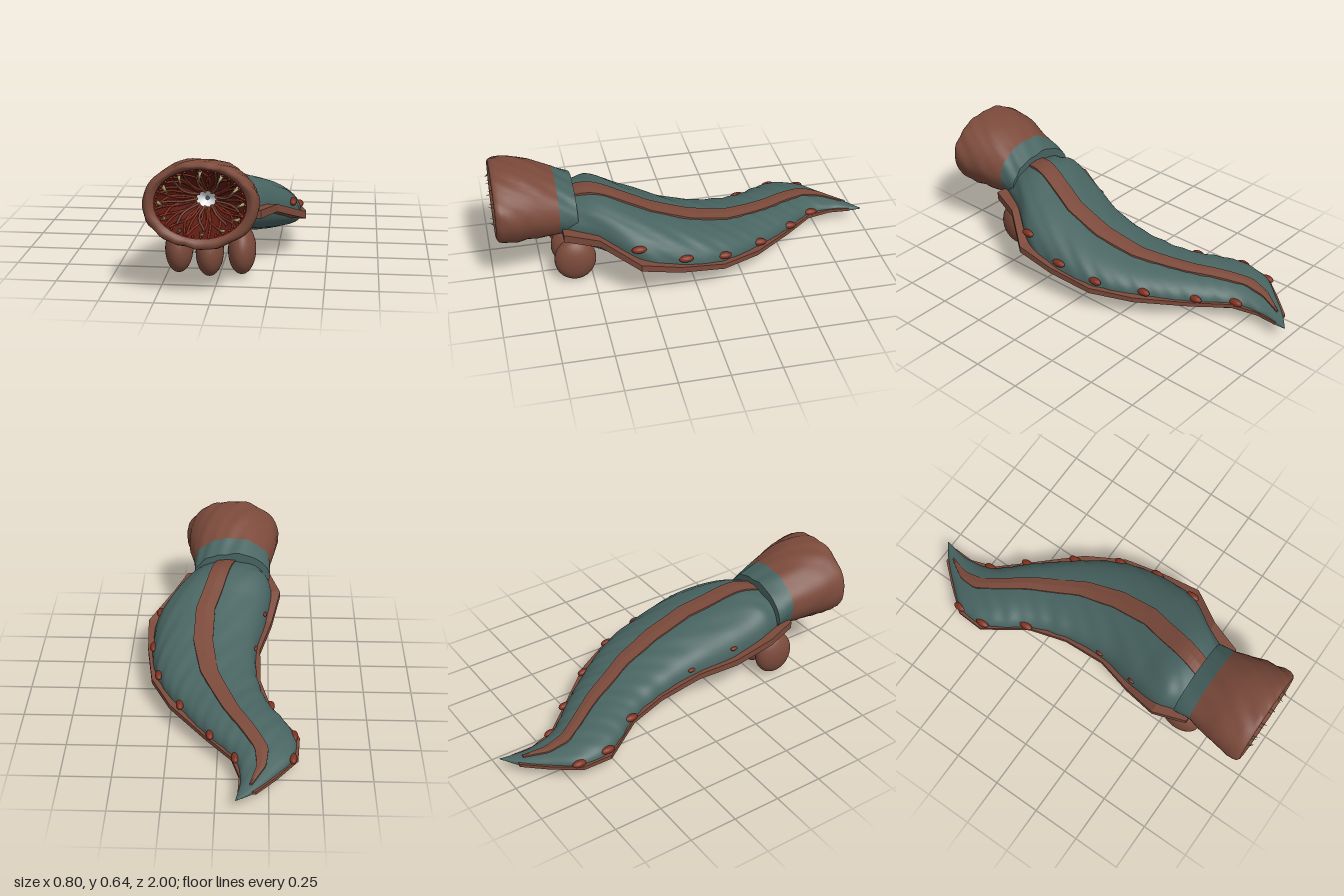
import * as THREE from 'three';

const V = (x, y, z) => new THREE.Vector3(x, y, z);
const mat = (name, color, extra) => new THREE.MeshStandardMaterial({ name, color, ...extra });

// Small surface lumps for the hide
const lump = (x, y, z) =>
  0.0025 * Math.sin(31 * x + 17 * z) * Math.sin(27 * y - 23 * z + 1) +
  0.0018 * Math.sin(67 * x - 41 * y + 53 * z);

// Skin closed rings of points, listed counter-clockwise as seen from +z
function loft(rings, { capStart = false, capEnd = false, flat = false } = {}) {
  const n = rings[0].length, pos = [], idx = [];
  rings.forEach(r => r.forEach(p => pos.push(p.x, p.y, p.z)));
  for (let i = 0; i < rings.length - 1; i++) for (let j = 0; j < n; j++) {
    const k = (j + 1) % n, a = i * n + j, b = i * n + k;
    idx.push(a, a + n, b, b, a + n, b + n);
  }
  const cap = (ring, reverse) => {
    const base = pos.length / 3, c = V(0, 0, 0);
    ring.forEach(p => { pos.push(p.x, p.y, p.z); c.addScaledVector(p, 1 / n); });
    pos.push(c.x, c.y, c.z);
    for (let j = 0; j < n; j++) {
      const a = base + j, b = base + (j + 1) % n;
      idx.push(base + n, reverse ? b : a, reverse ? a : b);
    }
  };
  if (capStart) cap(rings[0], false);
  if (capEnd) cap(rings[rings.length - 1], true);
  let g = new THREE.BufferGeometry();
  g.setAttribute('position', new THREE.Float32BufferAttribute(pos, 3));
  g.setIndex(idx);
  if (flat) g = g.toNonIndexed();
  g.computeVertexNormals();
  return g;
}

// Interpolate rows of [t, ...values]
function table(rows, Type) {
  const f = new Type(rows.map(r => r[0]), rows.flatMap(r => r.slice(1)), rows[0].length - 1);
  return t => Array.from(f.evaluate(t));
}
const steps = (a, b, n) => Array.from({ length: n + 1 }, (_, i) => a + (b - a) * i / n);

// Body profile: t = -z, left x, right x, top y, seam y, bottom y
const body = table([
  [-0.62, -0.22, 0.15, 0.45, 0.32, 0.21],
  [-0.48, -0.26, 0.22, 0.475, 0.31, 0.185],
  [-0.3, -0.235, 0.335, 0.415, 0.235, 0.145],
  [-0.1, -0.19, 0.36, 0.34, 0.175, 0.1],
  [0.1, -0.19, 0.33, 0.275, 0.145, 0.07],
  [0.3, -0.24, 0.23, 0.225, 0.125, 0.055],
  [0.55, -0.375, 0.045, 0.185, 0.09, 0.04],
  [0.7, -0.37, -0.08, 0.15, 0.08, 0.04],
  [0.83, -0.275, -0.115, 0.115, 0.075, 0.045],
  [0.94, -0.175, -0.105, 0.09, 0.07, 0.06],
  [1, -0.1, -0.095, 0.08, 0.078, 0.076],
], THREE.CubicInterpolant);
const POWER = 2.4;
const bend = v => Math.sign(v) * Math.abs(v) ** (2 / POWER);

function bodyPoint(t, a) {
  const [l, r, top, mid, low] = body(t);
  const c = bend(Math.cos(a)), s = bend(Math.sin(a));
  const x = (l + r) / 2 + c * (r - l) / 2;
  const y = mid + s * (s > 0 ? top - mid : mid - low);
  const b = lump(x, y, -t) * Math.min(1, (1 - t) * 3);
  return V(x + c * b, y + s * b, -t);
}
function bodyTop(t, x) {
  const [l, r, top, mid] = body(t);
  const u = Math.min(1, Math.abs((x - (l + r) / 2) / ((r - l) / 2)));
  return mid + (top - mid) * (1 - u ** POWER) ** (1 / POWER);
}

// Head profile: z, centre y, x radius, y radius
const headRings = rows => rows.map(([z, cy, rx, ry, rough = 1]) =>
  steps(0, Math.PI * 2, 64).slice(0, 64).map(a => {
    const c = Math.cos(a), s = Math.sin(a);
    const k = 1.6 * rough * lump(c * rx, cy + s * ry, z);
    return V(-0.045 + c * (rx + k), cy + s * (ry + k), z);
  }));
const gullet = table([
  [0, 0.405, 0.05, 0.042, 0.7],
  [0.3, 0.415, 0.095, 0.075, 0.76],
  [0.65, 0.435, 0.165, 0.125, 0.85],
  [1, 0.447, 0.208, 0.16, 0.955],
], THREE.CubicInterpolant);
function gulletPoint(u, a, inset = 0) {
  const [cy, rx, ry, z] = gullet(u);
  return V(-0.045 + Math.cos(a) * (rx - inset), cy + Math.sin(a) * (ry - inset), z + inset * 0.5);
}

export function createModel() {
  const model = new THREE.Group();
  const teal = mat('teal hide', 0x486461), brown = mat('brown hide', 0x7b4a3b);
  const darkRed = mat('dark red gullet', 0x5a1a11), red = mat('red flesh', 0x80301f);
  const ivory = mat('ivory', 0xa4946e), white = mat('white throat', 0xeeeeee);
  const add = (name, geo, material, parent = model) => {
    const m = new THREE.Mesh(geo, material);
    m.name = name;
    parent.add(m);
    return m;
  };
  const group = name => {
    const g = new THREE.Group();
    g.name = name;
    model.add(g);
    return g;
  };

  // Curving tapered body
  const around = steps(0, Math.PI * 2, 56).slice(0, 56);
  add('body', loft(steps(-0.62, 1, 90).map(t => around.map(a => bodyPoint(t, a))),
    { capStart: true, capEnd: true }), teal);

  // Angular side fringes: t, left x, right x, y
  const fringeRows = [
    [-0.65, -0.255, 0.2, 0.322], [-0.48, -0.31, 0.265, 0.308], [-0.3, -0.265, 0.395, 0.225],
    [-0.1, -0.205, 0.385, 0.178], [0.13, -0.207, 0.35, 0.14], [0.33, -0.26, 0.247, 0.12],
    [0.55, -0.4, 0.06, 0.093], [0.7, -0.39, -0.07, 0.084], [0.83, -0.288, -0.11, 0.075],
    [0.94, -0.19, -0.105, 0.073],
  ];
  for (const side of [-1, 1]) {
    const rings = fringeRows.map(([t, l, r, y]) => {
      const outer = side < 0 ? l : r, depth = Math.min(0.09, (r - l) * 0.4);
      const x0 = side < 0 ? outer : outer - depth, x1 = x0 + depth;
      const h = 0.02 - 0.012 * (t + 0.65) / 1.6;
      return [V(x0, y - h, -t), V(x1, y - h, -t), V(x1, y + h, -t), V(x0, y + h, -t)];
    });
    add(side < 0 ? 'rightFringe' : 'leftFringe',
      loft(rings, { capStart: true, capEnd: true, flat: true }), brown);
  }

  // Raised stripe along the back: t, x, half width
  const ridge = table([
    [-0.57, -0.015, 0.05], [-0.3, 0.055, 0.05], [-0.2, 0.085, 0.05], [0, 0.09, 0.05],
    [0.2, 0.052, 0.045], [0.45, -0.065, 0.04], [0.6, -0.16, 0.037], [0.7, -0.215, 0.033],
    [0.8, -0.215, 0.022], [0.91, -0.165, 0.006],
  ], THREE.LinearInterpolant);
  add('backStripe', loft(steps(-0.57, 0.91, 60).map(t => {
    const [x, w] = ridge(t), p = (px, dy) => V(px, bodyTop(t, px) + dy, -t);
    return [p(x - w, -0.02), p(x + w, -0.02), p(x + w, 0.009), p(x, 0.012), p(x - w, 0.009)];
  }), { capStart: true, capEnd: true, flat: true }), brown);

  // Red warts above the fringes
  const warts = group('warts');
  for (const side of [-1, 1]) for (const t of [-0.3, -0.07, 0.135, 0.35, 0.555, 0.71]) {
    if (side < 0 && t === 0.135) continue;
    const a = side > 0 ? 0.25 : Math.PI - 0.25;
    const w = add('wart', new THREE.SphereGeometry(1, 14, 10), red, warts);
    w.position.copy(bodyPoint(t, a));
    const k = side < 0 && t < 0.2 ? 0.55 : 1;
    w.scale.set(0.02 * k, 0.018 * k, 0.038 * k);
  }

  // Flared head with rolled lip, and the neck collar behind it
  add('head', loft(headRings([
    [0.955, 0.447, 0.208, 0.16, 0], [0.968, 0.446, 0.222, 0.17, 0.5], [0.974, 0.444, 0.236, 0.182],
    [0.965, 0.441, 0.25, 0.194], [0.945, 0.44, 0.258, 0.2], [0.91, 0.438, 0.258, 0.2],
    [0.87, 0.436, 0.252, 0.197], [0.82, 0.432, 0.244, 0.192], [0.77, 0.424, 0.233, 0.184],
    [0.72, 0.413, 0.221, 0.172], [0.66, 0.402, 0.208, 0.156],
  ])), brown);
  add('neckCollar', loft(headRings([
    [0.66, 0.402, 0.208, 0.156], [0.63, 0.393, 0.206, 0.148], [0.6, 0.384, 0.205, 0.14],
    [0.57, 0.375, 0.204, 0.134],
  ]), { capEnd: true }), teal);

  // Funnel gullet with the throat at its bottom
  add('gullet', loft(steps(0, 1, 16).map(u =>
    steps(0, Math.PI * 2, 64).slice(0, 64).map(a => gulletPoint(u, a)))), darkRed);
  add('throat', loft(headRings([[0.665, 0.4, 0.007, 0.007, 0], [0.708, 0.405, 0.053, 0.045, 0]])), white);
  const dot = add('throatHole', new THREE.CircleGeometry(0.009, 16), teal);
  dot.position.set(-0.045, 0.4, 0.669);

  // Swirling fleshy folds, with longer brown tendrils between
  const folds = group('gulletFolds');
  const COUNT = 44;
  for (let i = 0; i < COUNT; i++) {
    const a = i / COUNT * Math.PI * 2, tendril = i % 5 === 2;
    const pts = steps(0.02, tendril ? 0.82 : 0.96, 5).map((u, k) =>
      gulletPoint(u, a + 0.16 * Math.sin(i * 2.3) * Math.sin(k * 0.9) + 0.1 * u, tendril ? 0.009 : 0.003));
    add(tendril ? 'tendril' : 'fold', new THREE.TubeGeometry(new THREE.CatmullRomCurve3(pts), 14,
      tendril ? 0.006 : 0.0055, 6), tendril ? brown : red, folds);
  }

  // Ring of teeth and small gum beads
  const teeth = group('teeth');
  for (let i = 0; i < 12; i++) {
    const a = (i + 0.02) / 12 * Math.PI * 2;
    const base = gulletPoint(0.87, a), tip = gulletPoint(0.87, a, 0.042);
    tip.z = 0.995;
    const dir = tip.clone().sub(base);
    const tooth = add('tooth', new THREE.ConeGeometry(0.01, dir.length(), 8), ivory, teeth);
    tooth.position.copy(base).addScaledVector(dir, 0.5);
    tooth.quaternion.setFromUnitVectors(V(0, 1, 0), dir.normalize());
  }
  for (let i = 0; i < 36; i++) {
    const bead = add('gumBead', new THREE.SphereGeometry(0.006, 8, 6), red, teeth);
    bead.position.copy(gulletPoint(0.95, i / 36 * Math.PI * 2, 0.003));
  }

  // Three egg-shaped pods under the neck
  const pods = group('pods');
  for (const [x, y] of [[-0.19, 0.132], [-0.045, 0.118], [0.108, 0.132]]) {
    const pod = add('pod', new THREE.SphereGeometry(1, 32, 24), brown, pods);
    pod.position.set(x, y, 0.59);
    pod.scale.set(0.066, 0.117, 0.106);
  }
  return model;
}
